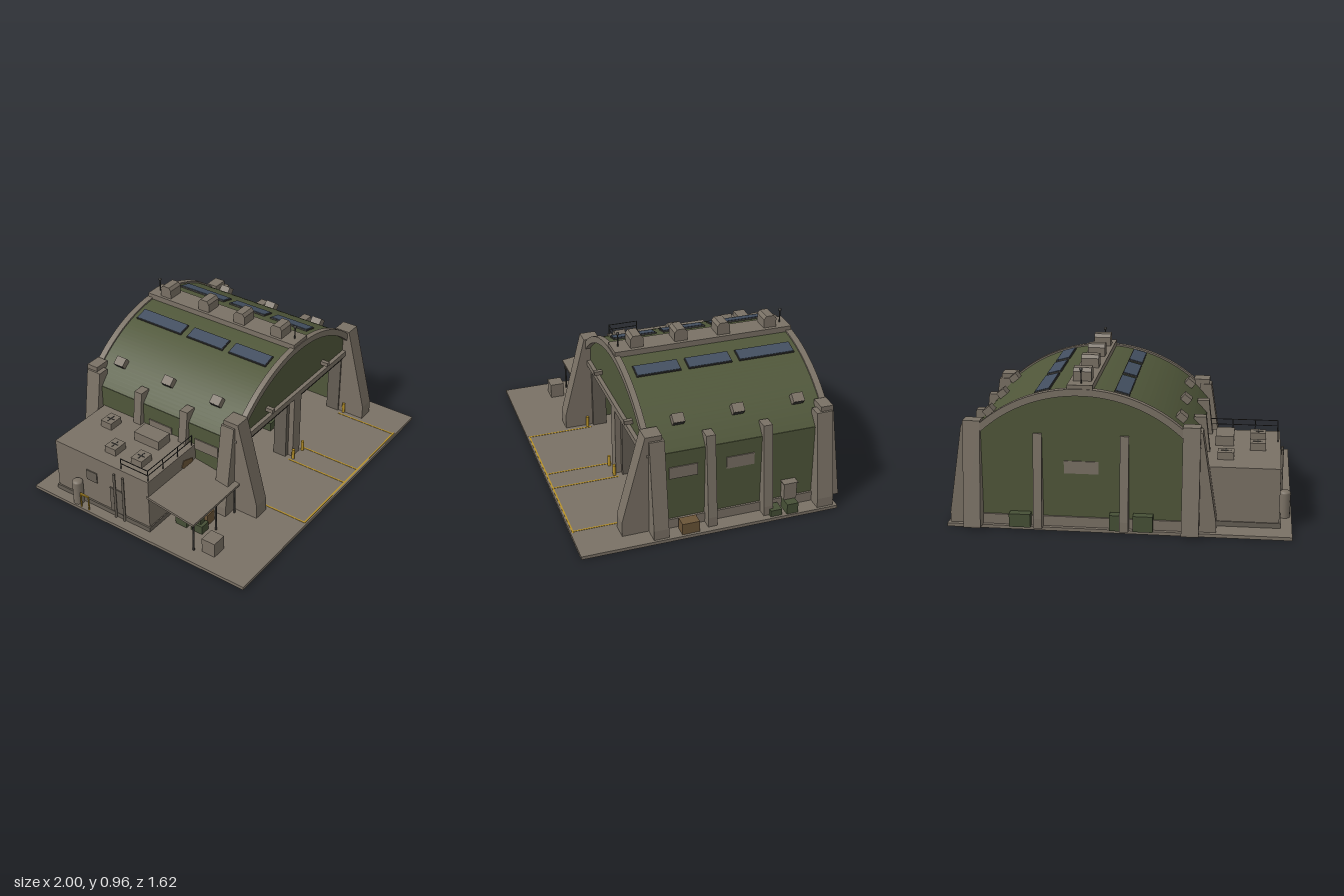
import * as THREE from 'three';

const paint = (name, color) => {
  const m = new THREE.MeshStandardMaterial({ color });
  m.name = name;
  return m;
};

export function createModel() {
  const concrete = paint('concrete', 0x7a7165), darkConcrete = paint('darkConcrete', 0x655e54);
  const green = paint('olive', 0x50573a), crateGreen = paint('crateGreen', 0x465036);
  const brown = paint('brown', 0x6b5538), red = paint('red', 0x7a1d20), yellow = paint('yellow', 0xb8922a);
  const glass = paint('glass', 0x434f60), dark = paint('darkMetal', 0x3a3936);

  const root = new THREE.Group();
  root.name = 'hangar';
  const CX = 0.21, CY = -0.035, R = 0.875, HALF = 0.68, ANG = Math.asin(HALF / R);
  const FRONT = 0.36, BACK = -0.72, FLOOR = 0.02;

  const add = (name, geo, mat, x = 0, y = 0, z = 0, parent = root) => {
    const m = new THREE.Mesh(geo, mat);
    m.name = name;
    m.position.set(x, y, z);
    parent.add(m);
    return m;
  };
  // box given by its limits
  const box = (name, mat, x0, x1, y0, y1, z0, z1) =>
    add(name, new THREE.BoxGeometry(x1 - x0, y1 - y0, z1 - z0), mat, (x0 + x1) / 2, (y0 + y1) / 2, (z0 + z1) / 2);
  const rod = (name, mat, r, x, y0, y1, z) =>
    add(name, new THREE.CylinderGeometry(r, r, y1 - y0, 12), mat, x, (y0 + y1) / 2, z);
  const extrude = (shape, depth) =>
    new THREE.ExtrudeGeometry(shape, { depth, bevelEnabled: false, curveSegments: 32 });
  const poly = pts => new THREE.Shape(pts.map(p => new THREE.Vector2(...p)));

  // ground slab and yellow floor lines
  box('groundSlab', concrete, -1, 1, 0, FLOOR, -0.755, 0.81);
  for (const x of [-0.335, 0.13, 0.29, 0.755]) box('floorLine', yellow, x - 0.005, x + 0.005, FLOOR, 0.022, 0.38, 0.8);
  box('floorLineCross', yellow, -0.34, 0.77, FLOOR, 0.022, 0.79, 0.8);

  // curved bands: roof shell and end rims
  const band = (name, mat, r0, r1, z0, z1) => {
    const s = new THREE.Shape();
    s.absarc(0, 0, r1, Math.PI / 2 - ANG, Math.PI / 2 + ANG, false);
    s.absarc(0, 0, r0, Math.PI / 2 + ANG, Math.PI / 2 - ANG, true);
    add(name, extrude(s, z1 - z0), mat, CX, CY, z0);
  };
  band('roofShell', green, R - 0.02, R, BACK, FRONT);
  band('frontRim', concrete, 0.845, 0.885, 0.355, 0.39);
  band('backRim', concrete, 0.845, 0.885, -0.735, -0.695);

  // end walls with an arched top
  const endWall = (name, y0, z0) => {
    const r = 0.86, w = 0.66, a = Math.asin(w / r), s = new THREE.Shape();
    s.moveTo(-w, y0 - CY);
    s.lineTo(w, y0 - CY);
    s.absarc(0, 0, r, Math.PI / 2 - a, Math.PI / 2 + a, false);
    add(name, extrude(s, 0.02), green, CX, CY, z0);
  };
  endWall('backWall', FLOOR, BACK);
  endWall('frontGable', 0.46, 0.34);
  box('backPlinth', concrete, CX - HALF, CX + HALF, FLOOR, 0.08, BACK - 0.012, BACK);
  box('backWindow', concrete, 0.11, 0.31, 0.345, 0.42, BACK - 0.006, BACK);

  // buttress: tapered profile, leaning against a wall that faces along "turn"
  const buttress = (name, x, z, turn, base, top, h, w, knee = 0.08) => {
    const g = extrude(poly([[-0.06, FLOOR], [base, FLOOR], [base, knee], [top, h], [-0.06, h]]), w);
    g.translate(0, 0, -w / 2);
    add(name, g, concrete, x, 0, z).rotation.y = turn;
  };

  // long walls, mirrored about the hangar axis
  for (const s of [-1, 1]) {
    const side = (name, mat, d0, d1, y0, y1, z0, z1) => {
      const a = CX + s * d0, b = CX + s * d1;
      return box(name, mat, Math.min(a, b), Math.max(a, b), y0, y1, z0, z1);
    };
    side('sideWall', green, 0.66, HALF, FLOOR, 0.52, BACK, FRONT);
    side('sidePlinth', concrete, HALF, 0.692, FLOOR, 0.08, BACK, FRONT);
    for (const z of [0.175, -0.17]) side('sideWindow', concrete, HALF, 0.686, 0.35, 0.425, z - 0.085, z + 0.085);
    const turn = s > 0 ? 0 : Math.PI;
    buttress('sideCornerButtress', CX + s * HALF, 0.335, turn, 0.095, 0.012, 0.615, 0.09);
    buttress('sideCornerButtress', CX + s * HALF, -0.68, turn, 0.095, 0.012, 0.615, 0.1);
    for (const z of [0.017, -0.328]) buttress('sideButtress', CX + s * HALF, z, turn, 0.072, 0.012, 0.595, 0.055);
    buttress('frontPier', CX + s * 0.63, FRONT, -Math.PI / 2, 0.18, 0.04, 0.645, 0.1, 0.11);
    buttress('backPier', CX + s * 0.63, BACK, Math.PI / 2, 0.093, 0.015, 0.645, 0.1, 0.03);
    buttress('backButtress', CX + s * 0.25, BACK, Math.PI / 2, 0.065, 0.012, 0.58, 0.05);

    // skylights lying along the curve
    const sa = Math.asin(0.228 / R);
    for (const [z0, z1] of [[-0.66, -0.32], [-0.265, -0.005], [0.05, 0.31]]) {
      const lie = (name, mat, w, h, d, r) =>
        add(name, new THREE.BoxGeometry(w, h, d), mat, CX + s * Math.sin(sa) * r, CY + Math.cos(sa) * r, (z0 + z1) / 2)
          .rotation.z = -s * sa;
      lie('skylightFrame', dark, 0.09, 0.012, z1 - z0 + 0.01, R + 0.002);
      lie('skylight', glass, 0.082, 0.006, z1 - z0, R + 0.008);
    }
    // small roof vents with a dark louvre
    const va = Math.asin(0.56 / 0.89);
    for (const z of [-0.56, -0.19, 0.17]) {
      const g = new THREE.Group();
      g.name = 'roofVent';
      g.position.set(CX + s * Math.sin(va) * 0.89, CY + Math.cos(va) * 0.89, z);
      g.rotation.z = -s * va;
      add('ventBody', new THREE.BoxGeometry(0.055, 0.05, 0.07), concrete, 0, 0, 0, g);
      add('ventLouvre', new THREE.BoxGeometry(0.004, 0.034, 0.06), dark, s * 0.028, 0.006, 0, g);
      root.add(g);
    }
  }

  // ridge walkway, ridge vents and masts
  box('ridge', concrete, 0.14, 0.285, 0.81, 0.872, -0.73, 0.385);
  const hood = poly([[-0.04, 0], [0.04, 0], [0.04, 0.055], [0.025, 0.075], [-0.025, 0.075], [-0.04, 0.055]]);
  for (const z of [0.243, -0.03, -0.3, -0.6]) {
    const g = extrude(hood, 0.104);
    g.translate(0, 0, -0.052);
    add('ridgeVent', g, concrete, CX, 0.872, z).rotation.y = Math.PI / 2;
  }
  for (const z of [0.345, -0.685]) {
    rod('mast', dark, 0.004, CX, 0.87, 0.95, z);
    add('mastLamp', new THREE.SphereGeometry(0.01, 12, 8), dark, CX, 0.953, z);
  }

  // front opening: lintel, rails, centre post, lamps, bollards
  box('lintel', concrete, -0.365, 0.79, 0.46, 0.497, 0.33, 0.385);
  for (const [a, b] of [[-0.35, 0.14], [0.28, 0.78]]) {
    box('doorRailHousing', darkConcrete, a, b, 0.436, 0.46, 0.32, 0.37);
    box('doorRail', dark, a, b, 0.42, 0.436, 0.33, 0.36);
    box('doorJamb', darkConcrete, a < 0 ? a - 0.02 : b, a < 0 ? a : b + 0.02, FLOOR, 0.46, 0.27, 0.36);
  }
  box('centrePost', concrete, 0.17, 0.25, FLOOR, 0.46, 0.29, 0.385);
  box('foldedDoor', darkConcrete, 0.14, 0.17, FLOOR, 0.44, 0.26, 0.35);
  box('foldedDoor', darkConcrete, 0.25, 0.28, FLOOR, 0.44, 0.26, 0.35);
  for (const x of [-0.105, 0.525]) box('wallLamp', concrete, x - 0.013, x + 0.013, 0.53, 0.555, 0.355, 0.41);
  for (const x of [-0.35, 0.155, 0.265, 0.785]) rod('bollard', yellow, 0.01, x, FLOOR, 0.09, 0.4);

  // overhead crane
  box('craneBeam', yellow, -0.34, 0.14, 0.408, 0.422, -0.02, 0.02);
  box('craneTrolley', yellow, -0.19, -0.13, 0.375, 0.408, -0.025, 0.025);
  rod('craneCable', dark, 0.002, -0.16, 0.23, 0.375, 0);
  add('craneHook', new THREE.TorusGeometry(0.009, 0.004, 6, 12), yellow, -0.16, 0.22, 0);

  // workshop fittings
  box('partition', concrete, -0.325, -0.285, FLOOR, 0.18, -0.1, 0.2);
  box('redCabinet', red, -0.28, -0.21, FLOOR, 0.11, 0.02, 0.1);
  box('redCabinet', red, 0.03, 0.1, FLOOR, 0.13, -0.08, 0);
  box('greenCrate', crateGreen, 0.315, 0.395, FLOOR, 0.08, 0.05, 0.12);
  box('greyCrate', concrete, 0.4, 0.465, FLOOR, 0.085, -0.07, 0);
  box('bench', concrete, 0.66, 0.74, FLOOR, 0.08, -0.3, -0.2);
  box('toolBox', red, 0.665, 0.735, 0.08, 0.1, -0.28, -0.22);

  // annex with roof units and railing
  box('annex', concrete, -0.925, -0.47, FLOOR, 0.38, -0.62, 0.09);
  box('annexPlinth', darkConcrete, -0.935, -0.47, FLOOR, 0.05, -0.627, 0.097);
  for (const [x, z] of [[-0.605, -0.45], [-0.79, -0.262], [-0.79, -0.064]]) {
    box('roofUnit', concrete, x - 0.048, x + 0.048, 0.38, 0.425, z - 0.04, z + 0.04);
    box('roofUnitSlot', dark, x - 0.03, x + 0.03, 0.425, 0.427, z - 0.003, z + 0.003);
    box('roofUnitSlot', dark, x - 0.003, x + 0.003, 0.425, 0.427, z - 0.025, z + 0.025);
  }
  box('largeRoofUnit', concrete, -0.645, -0.535, 0.38, 0.44, -0.235, -0.05);
  for (const y of [0.418, 0.452]) {
    box('railing', dark, -0.912, -0.49, y - 0.002, y + 0.002, 0.078, 0.082);
    box('railingSide', dark, -0.912, -0.908, y - 0.002, y + 0.002, -0.12, 0.082);
  }
  for (const x of [-0.91, -0.77, -0.63, -0.492]) rod('railingPost', dark, 0.003, x, 0.38, 0.452, 0.08);
  rod('railingPost', dark, 0.003, -0.91, 0.38, 0.452, -0.12);

  // annex doors, painted patches and side fittings
  box('frontDoor', darkConcrete, -0.69, -0.61, FLOOR, 0.19, 0.09, 0.1);
  const patch = pts => add('paintPatch', extrude(poly(pts), 0.004), brown, 0, 0, 0.091);
  patch([[-0.81, 0.12], [-0.7, 0.1], [-0.69, 0.2], [-0.84, 0.205]]);
  patch([[-0.59, 0.06], [-0.52, 0.05], [-0.5, 0.3], [-0.59, 0.33], [-0.61, 0.29], [-0.55, 0.24]]);
  box('sideDoor', darkConcrete, -0.932, -0.925, FLOOR, 0.22, -0.2, -0.1);
  box('sideHatch', darkConcrete, -0.932, -0.925, 0.2, 0.27, -0.38, -0.3);
  for (const z of [-0.155, -0.09]) rod('drainPipe', darkConcrete, 0.008, -0.94, FLOOR, 0.34, z);
  rod('tank', concrete, 0.034, -0.957, FLOOR, 0.17, -0.435);
  add('tankDome', new THREE.SphereGeometry(0.034, 16, 6, 0, Math.PI * 2, 0, Math.PI / 2), concrete, -0.957, 0.17, -0.435).scale.y = 0.5;
  for (const z of [-0.39, -0.33]) rod('tankGuard', yellow, 0.005, -0.985, FLOOR, 0.12, z);
  box('tankGuardRail', yellow, -0.99, -0.98, 0.11, 0.12, -0.39, -0.33);

  // canopy
  add('canopy', extrude(poly([[0.08, 0.262], [0.415, 0.212], [0.415, 0.227], [0.08, 0.277]]), 0.46), concrete, -0.47, 0, 0)
    .rotation.y = -Math.PI / 2;
  for (const x of [-0.91, -0.69, -0.5]) rod('canopyPost', dark, 0.006, x, FLOOR, 0.215, 0.4);

  // stacked crates outdoors
  box('greyCrate', concrete, -0.892, -0.798, FLOOR, 0.115, 0.445, 0.535);
  box('greenCrate', crateGreen, -0.775, -0.71, FLOOR, 0.075, 0.28, 0.36);
  box('greenCrate', crateGreen, -0.76, -0.72, 0.075, 0.105, 0.29, 0.34);
  box('greenCrate', crateGreen, -0.78, -0.7, FLOOR, 0.08, 0.17, 0.25);
  box('brownCrate', brown, -0.69, -0.62, FLOOR, 0.095, 0.27, 0.34);
  box('brownCrate', brown, 0.915, 0.985, FLOOR, 0.09, 0.105, 0.21);
  box('greenCrate', crateGreen, 0.91, 0.985, FLOOR, 0.06, -0.405, -0.335);
  box('greenCrate', crateGreen, 0.905, 0.99, FLOOR, 0.085, -0.505, -0.435);
  box('wallUnit', concrete, 0.89, 0.935, 0.085, 0.19, -0.515, -0.435);
  box('wallUnitCap', concrete, 0.89, 0.94, 0.19, 0.196, -0.52, -0.43);
  box('backGenerator', crateGreen, -0.205, -0.09, FLOOR, 0.115, -0.772, BACK);
  box('backGenerator', crateGreen, -0.015, 0.045, FLOOR, 0.115, -0.772, BACK);
  box('backGenerator', crateGreen, 0.505, 0.63, FLOOR, 0.1, -0.772, BACK);

  return root;
}
